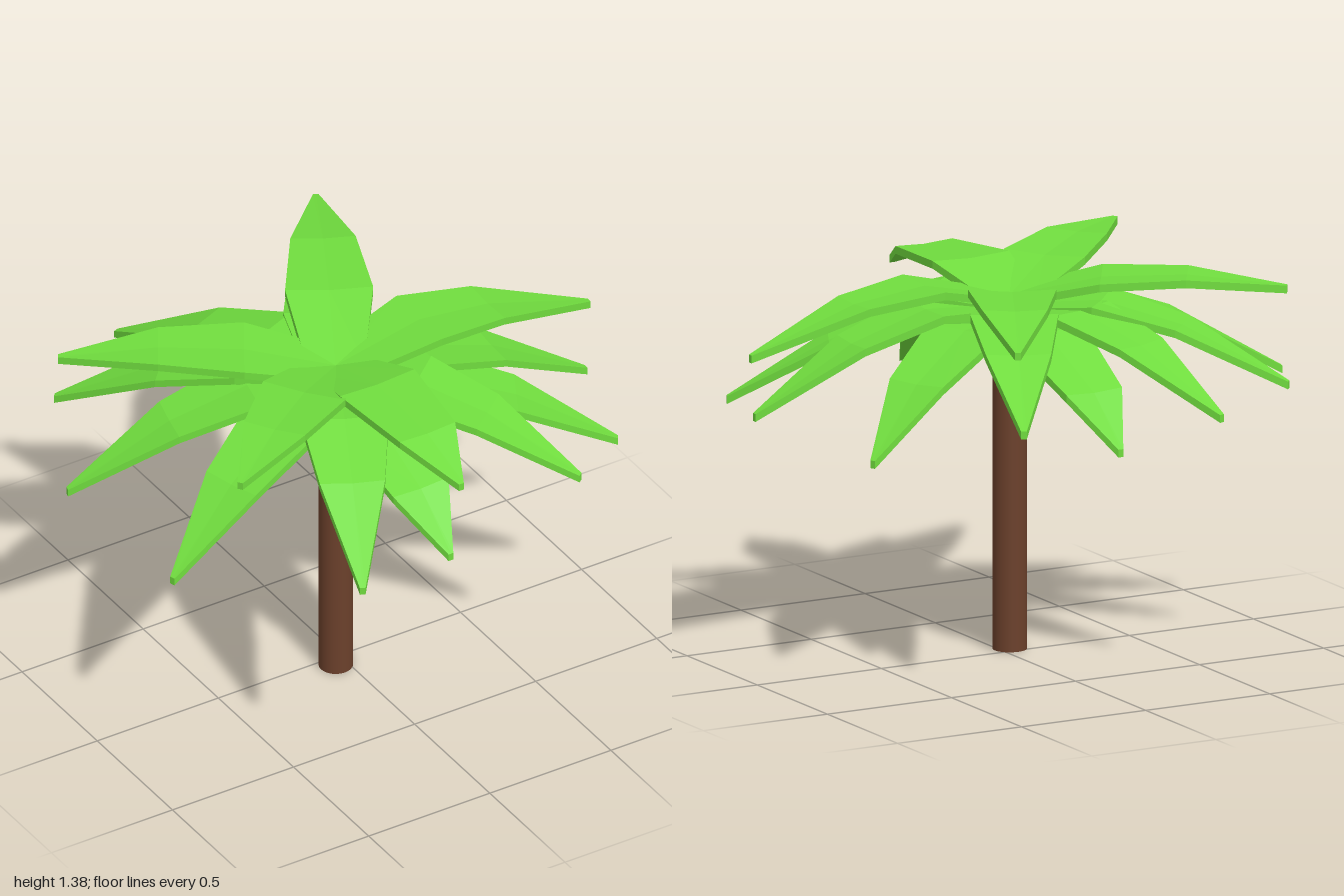
import * as THREE from 'three';

const green = new THREE.MeshStandardMaterial({ color: 0x70dc3e, flatShading: true });
const brown = new THREE.MeshStandardMaterial({ color: 0x6b402b });
const CX = -0.04, CZ = 0.04;   // trunk axis
const THICK = 0.028;

// Thick, arched, pointed leaf from the crown to its tip; shoulder = where the point begins
function frondGeometry([tx, ty, tz], rootY, arch, shoulder) {
  const dx = tx - CX, dz = tz - CZ, len = Math.hypot(dx, dz);
  const sx = -dz / len, sz = dx / len;   // sideways direction
  // cross-sections: [fraction of length, half width, share of arch, crease depth]
  const sections = [
    [0, 0.1, 0, 0.004],
    [0.33, 0.155, 1, 0.008],
    [shoulder, 0.115, 0.92, 0.006],
    [1, 0.01, 0, 0],
  ];
  const pos = [], index = [];
  for (const [t, w, a, crease] of sections) {
    const y = rootY + (ty - rootY) * t + arch * a;
    const ring = [[-1, 0], [0, -crease], [1, 0], [1, -THICK], [0, -THICK - crease], [-1, -THICK]];
    for (const [s, dy] of ring) {
      pos.push(CX + dx * t + sx * w * s, y + dy, CZ + dz * t + sz * w * s);
    }
  }
  const e = (sections.length - 1) * 6;
  for (let i = 0; i < e; i += 6) {
    for (let j = 0; j < 6; j++) {
      const a = i + j, b = i + (j + 1) % 6;
      index.push(a, a + 6, b, b, a + 6, b + 6);
    }
  }
  // end caps
  for (const [a, b, c] of [[0, 5, 4], [0, 4, 1], [1, 4, 3], [1, 3, 2]]) {
    index.push(a, c, b, e + a, e + b, e + c);
  }
  // turn the winding if the upper strip faces down
  const p = k => new THREE.Vector3().fromArray(pos, k * 3);
  if (p(6).sub(p(0)).cross(p(1).sub(p(0))).y < 0) index.reverse();
  const geo = new THREE.BufferGeometry();
  geo.setAttribute('position', new THREE.Float32BufferAttribute(pos, 3));
  geo.setIndex(index);
  const flat = geo.toNonIndexed();
  flat.computeVertexNormals();
  return flat;
}

// Frond tips, layer by layer: x, y, z, arch, shoulder
const LAYERS = [
  { name: 'upperFronds', rootY: 1.28, tips: [
    [1.0, 1.18, 0.05, 0.11, 0.6], [-0.03, 1.25, 0.86, 0.09, 0.73], [-0.77, 1.36, 0.58, 0.055, 0.64],
    [-0.87, 1.32, -0.47, 0.06, 0.64], [0.43, 1.31, -0.85, 0.085, 0.64]] },
  { name: 'middleFronds', rootY: 1.25, tips: [
    [0.95, 0.95, 0.11, 0.115, 0.62], [0.53, 1.02, 0.75, 0.11, 0.62], [-0.45, 0.97, 0.88, 0.11, 0.62],
    [-1.0, 0.96, -0.2, 0.115, 0.62], [-0.78, 1.02, -0.64, 0.11, 0.62], [-0.37, 1.0, -0.89, 0.11, 0.62],
    [0.4, 1.02, -0.84, 0.11, 0.62]] },
  { name: 'lowerFronds', rootY: 1.21, tips: [
    [0.84, 0.92, 0.5, 0.11, 0.64], [-0.03, 0.91, 0.79, 0.1, 0.74], [-0.87, 0.82, 0.29, 0.11, 0.64],
    [-0.07, 0.87, -0.7, 0.1, 0.76], [0.71, 0.84, -0.31, 0.12, 0.68]] },
];

export function createModel() {
  const model = new THREE.Group();
  model.name = 'palmTree';

  const trunk = new THREE.Mesh(new THREE.CylinderGeometry(0.061, 0.061, 1.26, 24), brown);
  trunk.name = 'trunk';
  trunk.position.set(CX, 0.63, CZ);
  model.add(trunk);

  for (const { name, rootY, tips } of LAYERS) {
    const layer = new THREE.Group();
    layer.name = name;
    for (const [x, y, z, arch, shoulder] of tips) {
      const frond = new THREE.Mesh(frondGeometry([x, y, z], rootY, arch, shoulder), green);
      frond.name = 'frond';
      layer.add(frond);
    }
    model.add(layer);
  }
  return model;
}
